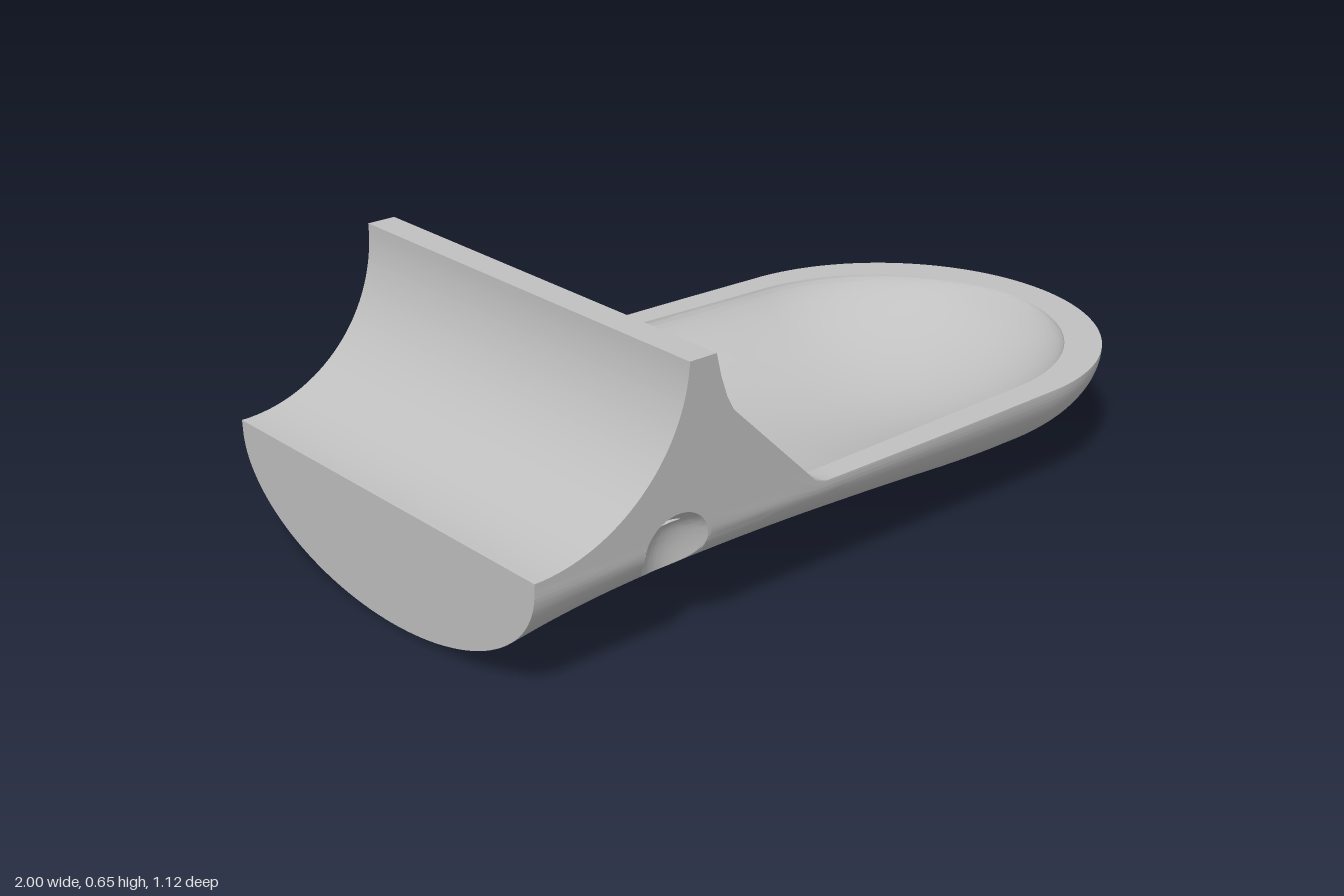
import * as THREE from 'three';
import { toCreasedNormals } from 'three/addons/utils/BufferGeometryUtils.js';

const RIM = 0.265; // height of the rim line
const { sin, cos, sqrt, max, PI } = Math;

// Smooth curve y(x) through a few points
function curve(points) {
  const c = new THREE.CubicInterpolant(points.map(p => p[0]), points.map(p => p[1]), 1);
  return x => c.evaluate(x)[0];
}
const steps = (n, fn) => Array.from({ length: n + 1 }, (_, k) => fn(k / n));
const ascending = list => list.sort((a, b) => a - b);

// Undersides of the outer hull and of the hollow
const keel = curve([[-1, 0], [-0.9, 0.028], [-0.8, 0.049], [-0.65, 0.066], [-0.45, 0.071], [-0.3, 0.068],
  [-0.1, 0.056], [0.1, 0.04], [0.3, 0.021], [0.45, 0.014], [0.55, 0.017], [0.65, 0.03], [0.75, 0.058],
  [0.85, 0.109], [0.92, 0.164], [0.97, 0.215], [1, RIM]]);
const floor = curve([[-0.93, 0.088], [-0.8, 0.112], [-0.45, 0.135], [0, 0.113], [0.3, 0.088], [0.45, 0.085],
  [0.6, 0.103], [0.75, 0.152], [0.85, 0.21], [0.91, RIM]]);

// Half widths at the rim, with rounded noses
const outerBase = curve([[-1, 0.535], [-0.9, 0.534], [-0.62, 0.531], [-0.25, 0.527], [0.2, 0.52], [0.5, 0.511]]);
const outerHalf = x => x < 0.5 ? outerBase(x) : 0.511 * sqrt(max(0, 1 - ((x - 0.5) / 0.5) ** 2));
const innerHalf = x => x < 0.45 ? 0.47 - 0.03 * max(0, (x + 0.25) / 0.7)
  : 0.44 * sqrt(max(0, 1 - ((x - 0.45) / 0.46) ** 2));

// Wall position at a given height: flared above the rim line, rounded below
function wall(y, half, base, flare, power) {
  if (y >= RIM) return half + (y - RIM) * flare;
  const t = (RIM - y) / max(RIM - base, 1e-4);
  return half * sqrt(max(0, 1 - t ** power));
}
const outerZ = (x, y) => wall(y, outerHalf(x), keel(x), 0.08, 2);
const innerZ = (x, y) =>
  wall(y, innerHalf(x), floor(x), 0.16, 2 - 0.6 * THREE.MathUtils.smoothstep(x, -0.3, 0.3));

// Upper edge of the sides: concave back, flat ridge, sloping shoulder, level rim
const backArc = x => 0.655 - 0.37 * sqrt(max(0, 1 - ((x + 1) / 0.375) ** 2));
const shoulder = [[-0.555, 0.655], [-0.54, 0.602], [-0.52, 0.55], [-0.5, 0.515], [-0.25, 0.275], [-0.22, RIM]];
function topEdge(x) {
  if (x <= -0.625) return backArc(x);
  if (x <= -0.555) return 0.655;
  for (let i = 1; i < shoulder.length; i++) {
    const [x0, y0] = shoulder[i - 1], [x1, y1] = shoulder[i];
    if (x <= x1) return y0 + (y1 - y0) * (x - x0) / (x1 - x0);
  }
  return RIM;
}
const ceiling = x => backArc(x - 0.07);
const innerTop = x => x < -0.555 ? ceiling(x) : topEdge(x);

// Round dimple pressed into each outer side
const DIMPLE = { x: -0.635, y: 0.24, rx: 0.085, ry: 0.08, depth: 0.06 };
const dimpleChord = x => DIMPLE.ry * sqrt(max(0, 1 - ((x - DIMPLE.x) / DIMPLE.rx) ** 2));
function dimpledZ(x, y) {
  const d2 = ((x - DIMPLE.x) / DIMPLE.rx) ** 2 + ((y - DIMPLE.y) / DIMPLE.ry) ** 2;
  return outerZ(x, y) - DIMPLE.depth * max(0, 1 - d2);
}

// One U-shaped cross-section, from the +z edge under the hull to the -z edge;
// its rows part around the dimple by the given half chord
function section(x, top, base, zAt, chord) {
  const mid = max(DIMPLE.y, RIM - 0.2 * (RIM - base));
  const upper = mid + chord, lower = mid - chord;
  const half = [
    ...steps(16, t => top + (upper - top) * t),
    ...steps(16, t => upper + (lower - upper) * t).slice(1),
    ...steps(28, t => lower - (lower - base) * sin(t * PI / 2)).slice(1),
  ].map(y => [x, y, zAt(x, y)]);
  return [...half, ...half.slice(0, -1).reverse().map(([px, py, pz]) => [px, py, -pz])];
}

// Skin a list of equal-length rows of points
function loft(rows, flip = false) {
  const n = rows[0].length, index = [];
  for (let i = 0; i < rows.length - 1; i++) {
    for (let j = 0; j < n - 1; j++) {
      const a = i * n + j, b = a + n, c = b + 1, d = a + 1;
      index.push(...(flip ? [a, d, b, b, d, c] : [a, b, d, b, c, d]));
    }
  }
  const g = new THREE.BufferGeometry();
  g.setAttribute('position', new THREE.Float32BufferAttribute(rows.flat(2), 3));
  g.setIndex(index);
  return toCreasedNormals(g, 0.6);
}
// Pair the two sides of a section to close it off
const capRows = s => s.slice(0, (s.length + 1) / 2).map((p, j) => [p, s[s.length - 1 - j]]);

export function createModel() {
  const group = new THREE.Group();
  const grey = new THREE.MeshStandardMaterial({ color: 0xc0c0c0, side: THREE.DoubleSide });
  grey.name = 'plain grey';
  const add = (name, geometry) => {
    const mesh = new THREE.Mesh(geometry, grey);
    mesh.name = name;
    group.add(mesh);
    return mesh;
  };

  // Stations along the length
  const arcX = steps(32, t => -1 + 0.375 * sin(t * PI / 2));
  const dimpleX = steps(24, t => DIMPLE.x - DIMPLE.rx * cos(t * PI)).filter(x => x < -0.556);
  const backX = ascending([...arcX, ...dimpleX]);
  const cavityX = arcX.slice(0, -1).map(x => x + 0.07);
  const sideX = ascending([...shoulder.map(p => p[0]), DIMPLE.x + DIMPLE.rx, -0.45, -0.4, -0.35, -0.3,
    ...steps(14, t => -0.18 + 0.58 * t)]);
  const outerFront = [...sideX, ...steps(36, t => 0.5 + 0.5 * sin(t * PI / 2))];
  const innerFront = [...sideX, ...steps(36, t => 0.45 + 0.46 * sin(t * PI / 2))];

  // Outer hull and hollow interior
  const outer = [...backX, ...outerFront].map(x => section(x, topEdge(x), keel(x), dimpledZ, dimpleChord(x)));
  const inner = [...cavityX, ...innerFront].map(x => section(x, innerTop(x), floor(x), innerZ, 0));
  add('outerHull', loft(outer, true));
  add('innerHollow', loft(inner));

  // Flat end at the back, and the wall closing the hollow
  add('backEnd', loft(capRows(outer[0]), true));
  add('hollowEndWall', loft(capRows(inner[0])));

  // Concave back with its ridge, and the overhang beneath it
  const across = (x, y, z) => [[x, y, z], [x, y, -z]];
  add('concaveBack', loft([...backX, -0.555].map(x => across(x, topEdge(x), outerZ(x, topEdge(x))))));
  add('overhang', loft([...cavityX, -0.555].map(x => across(x, ceiling(x), innerZ(x, ceiling(x)))), true));

  // Rim joining the hull to the hollow, with a bump inside each dimple
  for (const s of [1, -1]) {
    const rows = outerFront.map((xo, i) => {
      const xi = innerFront[i], yo = topEdge(xo), yi = topEdge(xi);
      return [[xo, yo, s * outerZ(xo, yo)], [xi, yi, s * innerZ(xi, yi)]];
    });
    add(s > 0 ? 'leftRim' : 'rightRim', loft(rows, s < 0));

    // Half dome square to the sloping inner wall
    const bump = add(s > 0 ? 'leftBump' : 'rightBump', new THREE.SphereGeometry(0.085, 32, 20, 0, PI));
    bump.scale.z = 0.5;
    bump.position.set(DIMPLE.x + 0.01, 0.225, s * 0.45);
    bump.lookAt(DIMPLE.x + 0.01, 0.225 + sin(0.7), s * (0.45 - cos(0.7)));
  }
  return group;
}
